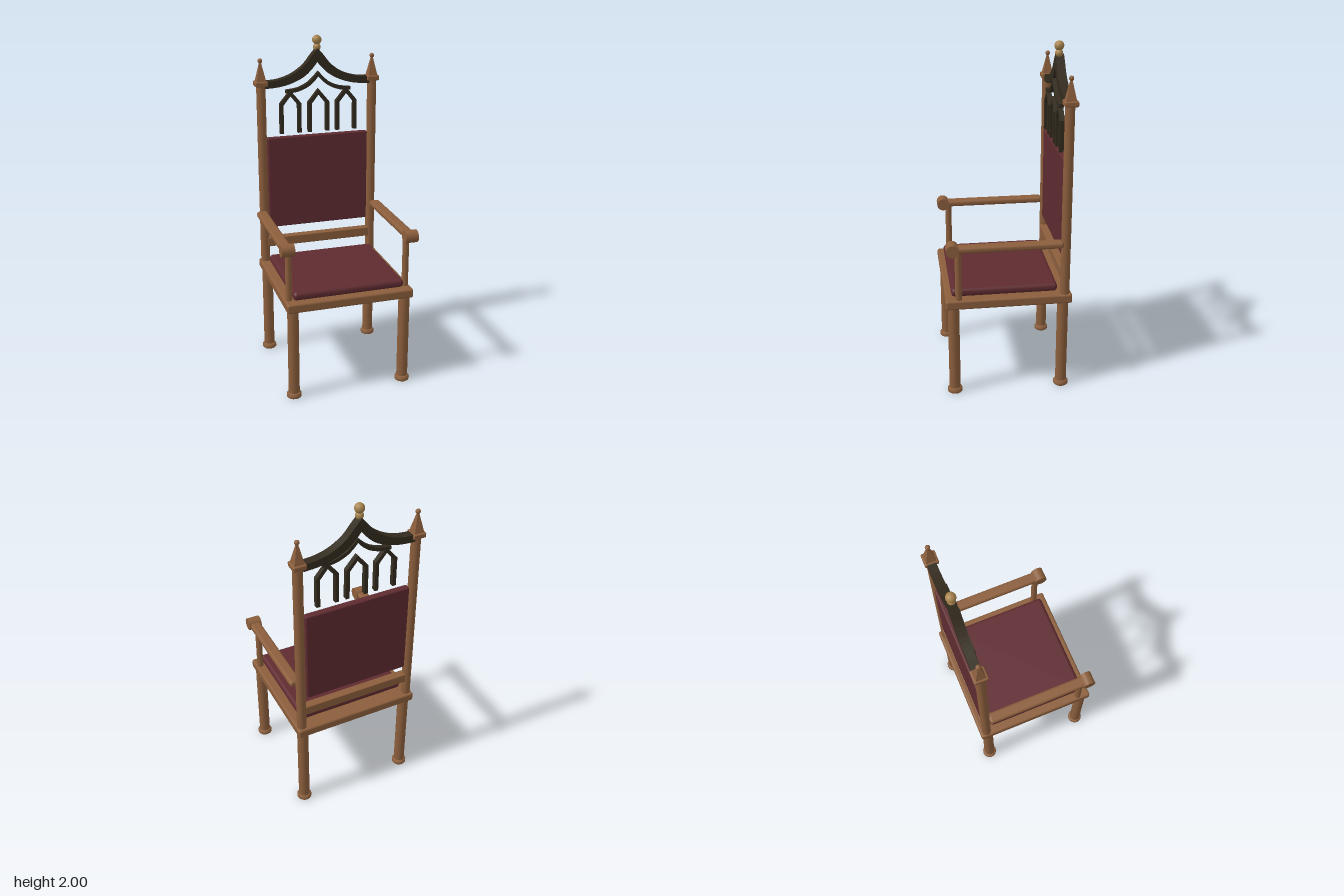
import * as THREE from 'three';
import { RoundedBoxGeometry } from 'three/addons/geometries/RoundedBoxGeometry.js';

const mat = (name, color) => Object.assign(new THREE.MeshStandardMaterial({ color }), { name });

export function createModel() {
  const wood = mat('oak wood', 0x8b5e3c);
  const dark = mat('dark carved wood', 0x332b1e);
  const fabric = mat('burgundy fabric', 0x5e2b30);
  const gold = mat('brass', 0xa8844e);
  const chair = new THREE.Group();
  chair.name = 'gothicArmchair';

  const add = (name, geo, material, x = 0, y = 0, z = 0) => {
    const mesh = new THREE.Mesh(geo, material);
    mesh.name = name;
    mesh.position.set(x, y, z);
    chair.add(mesh);
    return mesh;
  };
  const box = (w, h, d, r) => new RoundedBoxGeometry(w, h, d, 3, r);
  const post = (r, h) => new THREE.CylinderGeometry(r, r, h, 16);
  const plate = (points, depth) => new THREE.ExtrudeGeometry(
    new THREE.Shape(points.map(([x, y]) => new THREE.Vector2(x, y))), { depth, bevelEnabled: false });

  // Seat and back panels
  add('seatFrame', box(0.76, 0.056, 0.73, 0.012), wood, 0, 0.582, 0);
  add('seatCushion', box(0.665, 0.05, 0.615, 0.022), fabric, 0, 0.636, 0.022);
  add('backCushion', box(0.63, 0.57, 0.04, 0.008), fabric, 0, 1.115, -0.325);
  add('lowerBackRail', box(0.66, 0.058, 0.05, 0.006), wood, 0, 0.735, -0.32);

  for (const [side, s] of [['left', 1], ['right', -1]]) {
    // Legs with turned feet
    for (const [end, z] of [['Front', 0.32], ['Back', -0.316]]) {
      add(`${side}${end}Leg`, post(0.033, 0.54), wood, s * 0.338, 0.29, z);
      const foot = [[0, 0], [0.04, 0], [0.044, 0.005], [0.044, 0.02], [0.034, 0.032], [0, 0.032]];
      add(`${side}${end}Foot`, new THREE.LatheGeometry(foot.map(p => new THREE.Vector2(...p)), 16),
        wood, s * 0.338, 0, z);
    }

    // Back post, square cap, spire and bead
    const px = s * 0.346, pz = -0.327;
    add(`${side}BackPost`, post(0.028, 1.12), wood, px, 1.16, -0.324);
    add(`${side}PostCap`, box(0.076, 0.03, 0.078, 0.007), wood, px, 1.73, pz);
    const spire = new THREE.CylinderGeometry(0.007, 0.042, 0.115, 4, 1).toNonIndexed();
    spire.rotateY(Math.PI / 4);
    spire.computeVertexNormals();
    add(`${side}PostSpire`, spire, wood, px, 1.797, pz);
    add(`${side}PostBead`, new THREE.SphereGeometry(0.014, 16, 12), wood, px, 1.864, pz);

    // Armrest, front scroll and support
    add(`${side}Armrest`, box(0.066, 0.038, 0.63, 0.016), wood, s * 0.366, 0.927, 0.01);
    const scroll = post(0.037, 0.076);
    scroll.rotateZ(Math.PI / 2);
    add(`${side}ArmScroll`, scroll, wood, s * 0.365, 0.927, 0.323);
    add(`${side}ArmSupport`, post(0.019, 0.31), wood, s * 0.352, 0.76, 0.29);
  }

  // Ogee band: a half profile mirrored across the middle
  const ogee = (top, bottom, depth) => {
    const smooth = pts => new THREE.SplineCurve(pts.map(p => new THREE.Vector2(...p)))
      .getPoints(16).map(p => [p.x, p.y]);
    const mirror = half => [...half, ...half.slice(0, -1).reverse().map(([x, y]) => [-x, y])];
    return plate([...mirror(smooth(bottom)), ...mirror(smooth(top)).reverse()], depth);
  };
  add('crestArch', ogee(
    [[-0.325, 1.742], [-0.24, 1.749], [-0.16, 1.775], [-0.085, 1.825], [-0.035, 1.885], [0, 1.925]],
    [[-0.325, 1.7], [-0.24, 1.706], [-0.16, 1.725], [-0.085, 1.76], [-0.035, 1.805], [0, 1.848]],
    0.05), dark, 0, 0, -0.355);
  add('innerArch', ogee(
    [[-0.2, 1.688], [-0.13, 1.697], [-0.07, 1.723], [-0.03, 1.757], [0, 1.79]],
    [[-0.2, 1.668], [-0.13, 1.675], [-0.07, 1.698], [-0.03, 1.728], [0, 1.762]],
    0.028), dark, 0, 0, -0.32);

  // Three pointed lancets
  const lancet = [[-0.066, 1.425], [-0.044, 1.425], [-0.044, 1.597], [0, 1.652], [0.044, 1.597],
    [0.044, 1.425], [0.066, 1.425], [0.066, 1.605], [0, 1.685], [-0.066, 1.605]];
  for (const x of [-0.174, 0, 0.174]) add('lancet', plate(lancet, 0.028), dark, x, 0, -0.32);

  // Brass finial
  add('finialNeck', new THREE.SphereGeometry(0.023, 20, 14), gold, 0, 1.93, -0.327);
  add('finialBall', new THREE.SphereGeometry(0.028, 24, 16), gold, 0, 1.972, -0.327);

  return chair;
}
